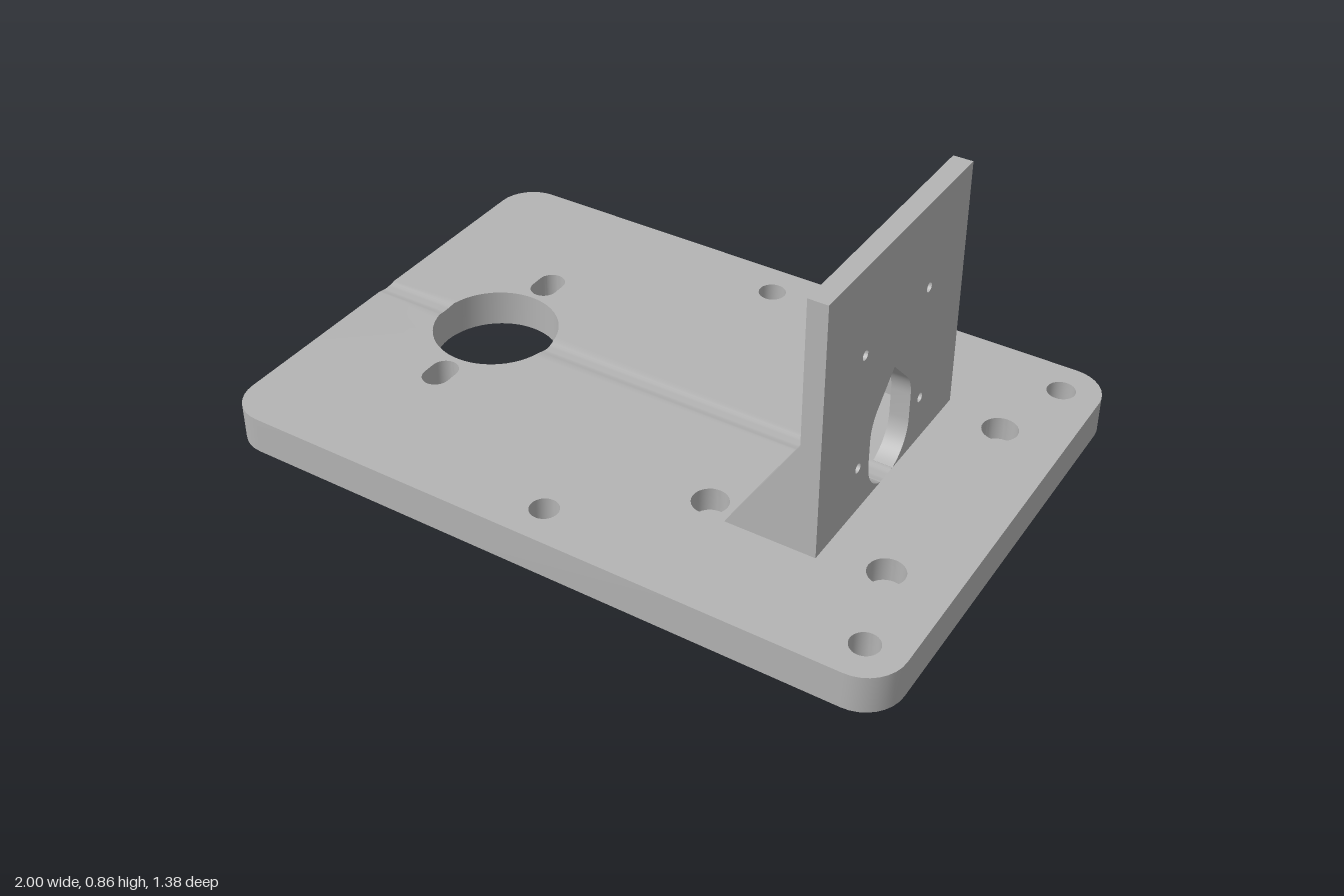
import * as THREE from 'three';
import { mergeGeometries, toCreasedNormals } from 'three/addons/utils/BufferGeometryUtils.js';

const V2 = (x, y) => new THREE.Vector2(x, y);
const TOP = 0.11;                    // plate thickness
const LEDGE = 0.04;                  // counterbore floor
const W = 0.035, BORE = 0.113, BORE_Y = 0.218; // groove half width, round channel radius and axis
const CX = -0.6, R = 0.18;           // large round opening
const END = 0.65;                    // groove end, outer face of the panel
const HX = 1, HZ = 0.69, CORNER = 0.11;

// Points along an arc, stretched by dy away from the centre line for slots
function arc(cx, cy, r, a0, a1, n) {
  return Array.from({ length: n + 1 }, (_, i) => {
    const a = a0 + (a1 - a0) * i / n;
    return V2(cx + r * Math.cos(a), cy + r * Math.sin(a));
  });
}
const circle = (cx, cy, r) => arc(cx, cy, r, 0, Math.PI * 2, 32).slice(0, -1);
const slot = (cx, cy, r, half) => [
  ...arc(cx, cy + half, r, 0, Math.PI, 16), ...arc(cx, cy - half, r, Math.PI, Math.PI * 2, 16)];

const grooveFloor = (v) => BORE_Y - Math.sqrt(BORE * BORE - v * v);
const surface = (p) => (Math.abs(p.y) < W - 1e-6 && p.x < END) ? grooveFloor(p.y) : TOP;

function fromTriangles(pos) {
  const g = new THREE.BufferGeometry();
  g.setAttribute('position', new THREE.Float32BufferAttribute(pos, 3));
  return g;
}

// Upright strip along a list of points; the solid lies left of the path
function wall(pts, low, high, closed = true) {
  const pos = [];
  for (let i = 0; i < pts.length - (closed ? 0 : 1); i++) {
    const p = pts[i], q = pts[(i + 1) % pts.length];
    const a = [p.x, p.y, low(p)], b = [q.x, q.y, low(q)];
    const c = [q.x, q.y, high(q)], d = [p.x, p.y, high(p)];
    pos.push(...a, ...b, ...c, ...a, ...c, ...d);
  }
  return fromTriangles(pos);
}

// Flat face with holes at a given height
function cap(outline, holes, h, down = false) {
  const shape = new THREE.Shape(outline);
  shape.holes = holes.map((pts) => new THREE.Path(pts));
  const g = new THREE.ShapeGeometry(shape).toNonIndexed();
  g.deleteAttribute('uv');
  g.deleteAttribute('normal');
  if (down) g.rotateX(Math.PI);      // all plate outlines mirror across the long axis
  g.translate(0, 0, h);
  return g;
}

function plateGeometry() {
  const PI = Math.PI, x = HX - CORNER, y = HZ - CORNER;
  const corners = [
    ...arc(-x, -y, CORNER, PI, 1.5 * PI, 8), ...arc(x, -y, CORNER, 1.5 * PI, 2 * PI, 8),
    ...arc(x, y, CORNER, 0, PI / 2, 8), ...arc(-x, y, CORNER, PI / 2, PI, 8)];
  const across = Array.from({ length: 9 }, (_, i) => W - 2 * W * i / 8);
  const reach = (v) => Math.sqrt(R * R - v * v);
  const a = Math.asin(W / R);
  const farArc = arc(CX, 0, R, a, PI - a, 24), nearArc = arc(CX, 0, R, PI + a, 2 * PI - a, 24);
  const opening = [
    ...farArc, ...across.slice(1, -1).map((v) => V2(CX - reach(v), v)),
    ...nearArc, ...across.slice(1, -1).reverse().map((v) => V2(CX + reach(v), v))];

  const through = [];                // screw holes and slots
  const small = [], large = [], rings = [];
  for (const s of [-1, 1]) {
    through.push(circle(-0.02, s * 0.58, 0.04), circle(0.89, s * 0.58, 0.04));
    through.push(slot(CX, s * 0.258, 0.04, 0.019));
    for (const cx of [0.32, 0.82]) {
      small.push(circle(cx, s * 0.332, 0.026));
      large.push(circle(cx, s * 0.332, 0.05));
    }
  }
  const zero = () => 0, ledge = () => LEDGE;
  const holeWall = (pts, lo, hi) => wall([...pts].reverse(), lo, hi);
  large.forEach((pts, i) => rings.push(cap(pts, [small[i]], LEDGE)));

  // Top face, notched along the groove and around the opening
  const topOutline = [
    ...corners, V2(-HX, W), ...[...farArc].reverse(), V2(END, W),
    V2(END, -W), ...[...nearArc].reverse(), V2(-HX, -W)];

  // Shallow round groove on both sides of the opening
  const groove = [];
  const spans = [[() => -HX, (v) => CX - reach(v)], [(v) => CX + reach(v), () => END]];
  for (const [u0, u1] of spans) {
    for (let i = 0; i < 8; i++) {
      const v1 = across[i], v0 = across[i + 1];
      const h1 = Math.min(TOP, grooveFloor(v1)), h0 = Math.min(TOP, grooveFloor(v0));
      const p = [u0(v0), v0, h0], q = [u1(v0), v0, h0], r = [u1(v1), v1, h1], s = [u0(v1), v1, h1];
      groove.push(...p, ...q, ...r, ...p, ...r, ...s);
    }
  }
  const grooveEnd = wall(across.map((v) => V2(END, v)), (p) => grooveFloor(p.y), () => TOP, false);

  const merged = mergeGeometries([
    cap(topOutline, [...through, ...large], TOP),
    cap(corners, [opening, ...through, ...small], 0, true),
    wall([...corners, ...across.map((v) => V2(-HX, v))], zero, surface),
    holeWall(opening, zero, surface),
    ...through.map((pts) => holeWall(pts, zero, () => TOP)),
    ...small.map((pts) => holeWall(pts, zero, ledge)),
    ...large.map((pts) => holeWall(pts, ledge, () => TOP)),
    ...rings, fromTriangles(groove), grooveEnd]);
  merged.rotateX(-Math.PI / 2);
  return toCreasedNormals(merged, 0.25);
}

// Upright panel with a pointed opening and four pin holes
function panelGeometry() {
  const PI = Math.PI, half = 0.38, height = 0.857, upper = 0.295;
  const a = Math.asin(W / BORE);
  const shape = new THREE.Shape([
    V2(-half, TOP), V2(-W, TOP),
    ...arc(0, BORE_Y, BORE, 1.5 * PI - a, PI, 14),
    ...arc(0, upper, BORE, PI, 0.75 * PI, 8),
    V2(0, upper + BORE * Math.SQRT2),
    ...arc(0, upper, BORE, PI / 4, 0, 8),
    ...arc(0, BORE_Y, BORE, 0, -PI / 2 + a, 14),
    V2(W, TOP), V2(half, TOP), V2(half, height), V2(-half, height)]);
  for (const u of [-0.173, 0.173]) {
    for (const y of [0.25, 0.595]) shape.holes.push(new THREE.Path(circle(u, y, 0.014)));
  }
  const g = new THREE.ExtrudeGeometry(shape, { depth: 0.056, bevelEnabled: false });
  g.rotateY(PI / 2).translate(END - 0.056, 0, 0);
  return toCreasedNormals(g, 0.25);
}

export function createModel() {
  const model = new THREE.Group();
  model.name = 'mountingBracket';
  const grey = new THREE.MeshStandardMaterial({ color: 0xb4b4b4 });
  grey.name = 'grey';
  const add = (name, geometry) => {
    const mesh = new THREE.Mesh(geometry, grey);
    mesh.name = name;
    model.add(mesh);
    return mesh;
  };

  add('basePlate', plateGeometry());
  add('uprightPanel', panelGeometry());

  // Triangular braces behind the panel
  const brace = new THREE.Shape([V2(0.39, TOP), V2(0.594, TOP), V2(0.594, 0.435)]);
  const braceGeometry = new THREE.ExtrudeGeometry(brace, { depth: 0.065, bevelEnabled: false });
  add('leftBrace', braceGeometry).position.z = -0.38;
  add('rightBrace', braceGeometry).position.z = 0.315;
  return model;
}
